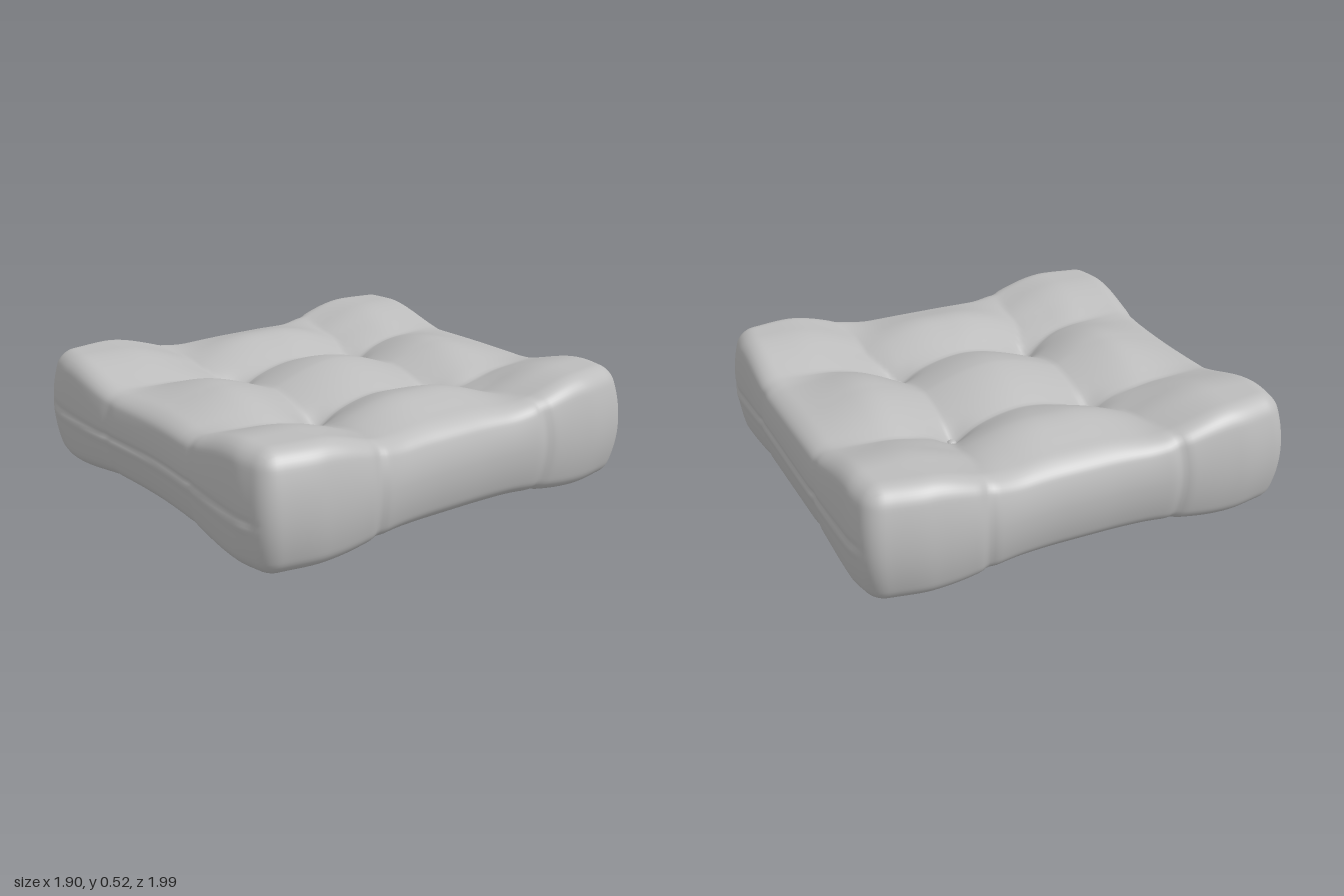
import * as THREE from 'three';
import { mergeVertices } from 'three/addons/utils/BufferGeometryUtils.js';

const { lerp, smoothstep } = THREE.MathUtils;
const smooth = (v, a, b) => smoothstep(Math.abs(v), a, b);
const bump = (d, w) => Math.exp(-((d / w) ** 2));
const puff = (d) => Math.sin((Math.PI / 2) * Math.min(1, d / 0.34));

// Distance to the nearest tufting line in each direction; lines splay towards the edges
function tuftDistance(x, z) {
  const left = -0.315 - 0.03 * smooth(z, 0.33, 0.6);
  const right = 0.31 + 0.07 * smooth(z, 0.3, 0.55);
  const splay = 0.07 * smooth(x, 0.3, 0.55) + 0.06 * smooth(x, 0.6, 1);
  return [
    Math.min(Math.abs(x - left), Math.abs(x - right)),
    Math.min(Math.abs(z + 0.345 + splay), Math.abs(z - 0.315 - splay)),
  ];
}

// 1 on the raised corner blocks, 0 along the slack middles of the edges
const cornerBlock = (x, z) => smooth(x, 0.27, 0.7) * smooth(z, 0.27, 0.7);
// Blend from the tufted field to the taut outer edge
const edgeBlend = (x, z) => smooth(Math.max(Math.abs(x) * 1.05, Math.abs(z)), 0.55, 0.98);

// How far a face sinks below full height
function sink(x, z, groove, pit, edge) {
  const [dx, dz] = tuftDistance(x, z);
  const field = groove * (2 - puff(dx) - puff(dz)) + pit * bump(Math.hypot(dx, dz), 0.07);
  return lerp(field, edge * (1 - cornerBlock(x, z)), edgeBlend(x, z));
}

const topHeight = (x, z) => 0.511 + 0.011 * cornerBlock(x, z) - sink(x, z, 0.085, 0.025, 0.075);
const bottomHeight = (x, z) => 0.002 + 0.006 * cornerBlock(x, z) + sink(x, z, 0.055, 0.025, 0.045);

// Stuffed body: a rounded box whose walls and faces are pushed in by the tufting
function cushionGeometry() {
  const hx = 0.93, hy = 0.26, hz = 0.98, r = 0.07;
  let geo = new THREE.BoxGeometry(2 * hx, 2 * hy, 2 * hz, 110, 36, 110);
  geo.deleteAttribute('uv');
  geo.deleteAttribute('normal');
  geo = mergeVertices(geo);
  const pos = geo.attributes.position;
  const p = new THREE.Vector3(), core = new THREE.Vector3();
  const lo = new THREE.Vector3(-hx + r, -hy + r, -hz + r), hi = lo.clone().negate();
  for (let i = 0; i < pos.count; i++) {
    p.fromBufferAttribute(pos, i);
    core.copy(p).clamp(lo, hi);
    p.sub(core).normalize().multiplyScalar(r).add(core);
    const u = p.x / hx, v = p.y / hy, w = p.z / hz;

    // Walls: bulge at mid height, waist in the middle, tapered corners, notches at the tufting lines
    const [dx, dz] = tuftDistance(p.x, p.z);
    const sideX = smooth(u, 0.85, 1), sideZ = smooth(w, 0.85, 1);
    const bulge = 1 - v * v;
    const halfX = 0.858 + 0.042 * smooth(p.z, 0.1, 0.65) + 0.05 * bulge
      - 0.035 * smooth(p.z, 0.72, 0.98) - 0.012 * sideX * bump(dz, 0.025);
    const waist = w > 0 ? 0.035 * (1 - smooth(p.x, 0, 0.7)) : 0.008;
    let halfZ = 0.962 + 0.035 * bulge - waist
      - 0.025 * smooth(p.x, 0.74, 0.93) - 0.005 * sideZ * bump(dx, 0.03);

    // Closing seam running along the front and back walls
    const seamY = 0.008 * Math.sin(p.x * 5) - 0.01 * p.x - 0.008;
    const seam = sideZ * (1 - smooth(p.x, 0.8, 0.9));
    halfZ += seam * (0.004 * bump(p.y - seamY + 0.03, 0.022) - 0.007 * bump(p.y - seamY, 0.014));

    const x = u * halfX, z = w * halfZ;
    const y = v > 0 ? 0.26 + v * (topHeight(x, z) - 0.26) : 0.26 + v * (0.26 - bottomHeight(x, z));
    pos.setXYZ(i, x, y, z);
  }
  geo.computeVertexNormals();
  return geo;
}

export function createModel() {
  const model = new THREE.Group();
  model.name = 'tuftedCushion';
  const fabric = new THREE.MeshStandardMaterial({ color: 0xbcbcbc });
  fabric.name = 'grey fabric';

  const body = new THREE.Mesh(cushionGeometry(), fabric);
  body.name = 'cushionBody';
  model.add(body);

  // Tufting buttons on both faces
  const buttonGeo = new THREE.SphereGeometry(0.021, 20, 12);
  for (const [x, z] of [[-0.315, -0.348], [0.315, -0.338], [-0.315, 0.315], [0.315, 0.315]]) {
    for (const face of ['top', 'bottom']) {
      const button = new THREE.Mesh(buttonGeo, fabric);
      button.name = face + 'Button';
      button.scale.y = 0.7;
      button.position.set(x, face === 'top' ? topHeight(x, z) + 0.008 : bottomHeight(x, z) - 0.008, z);
      model.add(button);
    }
  }
  return model;
}
